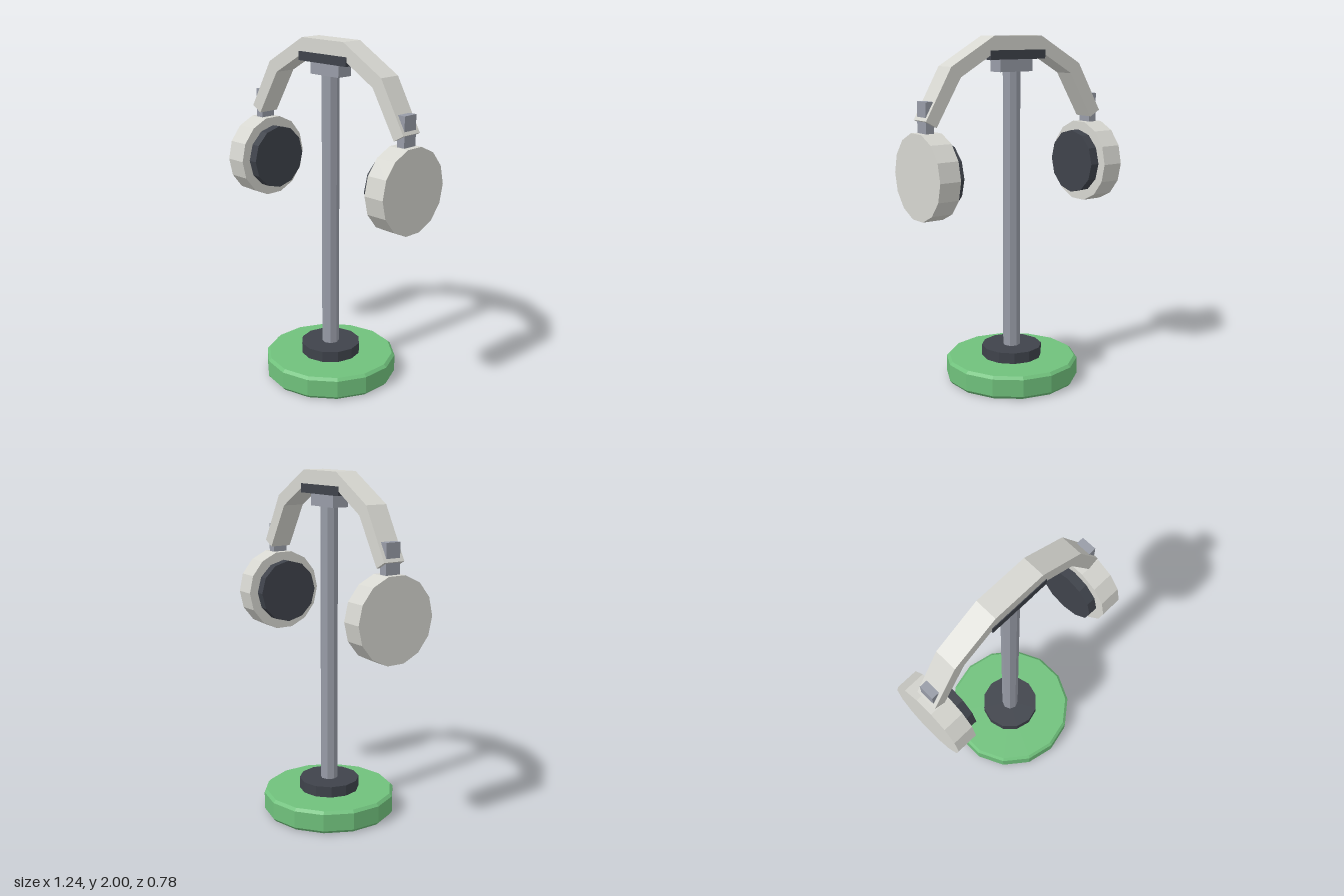
import * as THREE from 'three';

const material = (name, color) => {
  const m = new THREE.MeshStandardMaterial({ color, flatShading: true });
  m.name = name;
  return m;
};

export function createModel() {
  const green = material('green', 0x70c17c);
  const dark = material('charcoal', 0x3f434b);
  const metal = material('steel grey', 0x989ca7);
  const light = material('warm white', 0xd6d6d0);

  const model = new THREE.Group();
  model.name = 'headphoneStand';

  const add = (parent, name, geometry, mat, x = 0, y = 0, z = 0) => {
    const mesh = new THREE.Mesh(geometry, mat);
    mesh.name = name;
    mesh.position.set(x, y, z);
    parent.add(mesh);
    return mesh;
  };
  const box = (w, h, d) => new THREE.BoxGeometry(w, h, d);
  const disc = (r, h, sides) => new THREE.CylinderGeometry(r, r, h, sides);

  // Bevelled base, collar and pole
  const profile = [[0, 0], [0.372, 0], [0.388, 0.018], [0.388, 0.117], [0.372, 0.133], [0, 0.133]]
    .map(([r, y]) => new THREE.Vector2(r, y));
  add(model, 'base', new THREE.LatheGeometry(profile, 14), green);
  add(model, 'collar', disc(0.176, 0.07, 12), dark, 0, 0.162);
  add(model, 'pole', disc(0.05, 1.64, 8), metal, 0, 1.0);

  // Bracket and rest plate on top of the pole
  add(model, 'bracket', box(0.22, 0.07, 0.1), metal, 0, 1.837);
  add(model, 'restPlate', box(0.37, 0.051, 0.138), dark, 0, 1.8965);

  // Faceted headband arch, outer line and mirrored inner line
  const outer = [[0.16, 2], [0.437, 1.84], [0.597, 1.56]];
  const inner = [[0.532, 1.524], [0.378, 1.783], [0.14, 1.921]];
  const half = [...outer, ...inner];
  const mirrored = half.map(([x, y]) => [-x, y]).reverse();
  const arch = new THREE.Shape([...half, ...mirrored].map(([x, y]) => new THREE.Vector2(x, y)));
  const band = new THREE.ExtrudeGeometry(arch, { depth: 0.13, bevelEnabled: false });
  add(model, 'headband', band, light, 0, 0, -0.065);

  // Slider, ear cup and cushion on each side
  for (const [side, name] of [[1, 'left'], [-1, 'right']]) {
    const ear = new THREE.Group();
    ear.name = name + 'Earpiece';
    add(ear, 'slider', box(0.05, 0.2, 0.09), metal, side * 0.562, 1.56);
    add(ear, 'earCup', disc(0.241, 0.127, 14), light, side * 0.5585, 1.256).rotation.z = Math.PI / 2;
    add(ear, 'cushion', disc(0.187, 0.08, 12), dark, side * 0.48, 1.256).rotation.z = Math.PI / 2;
    model.add(ear);
  }
  return model;
}
